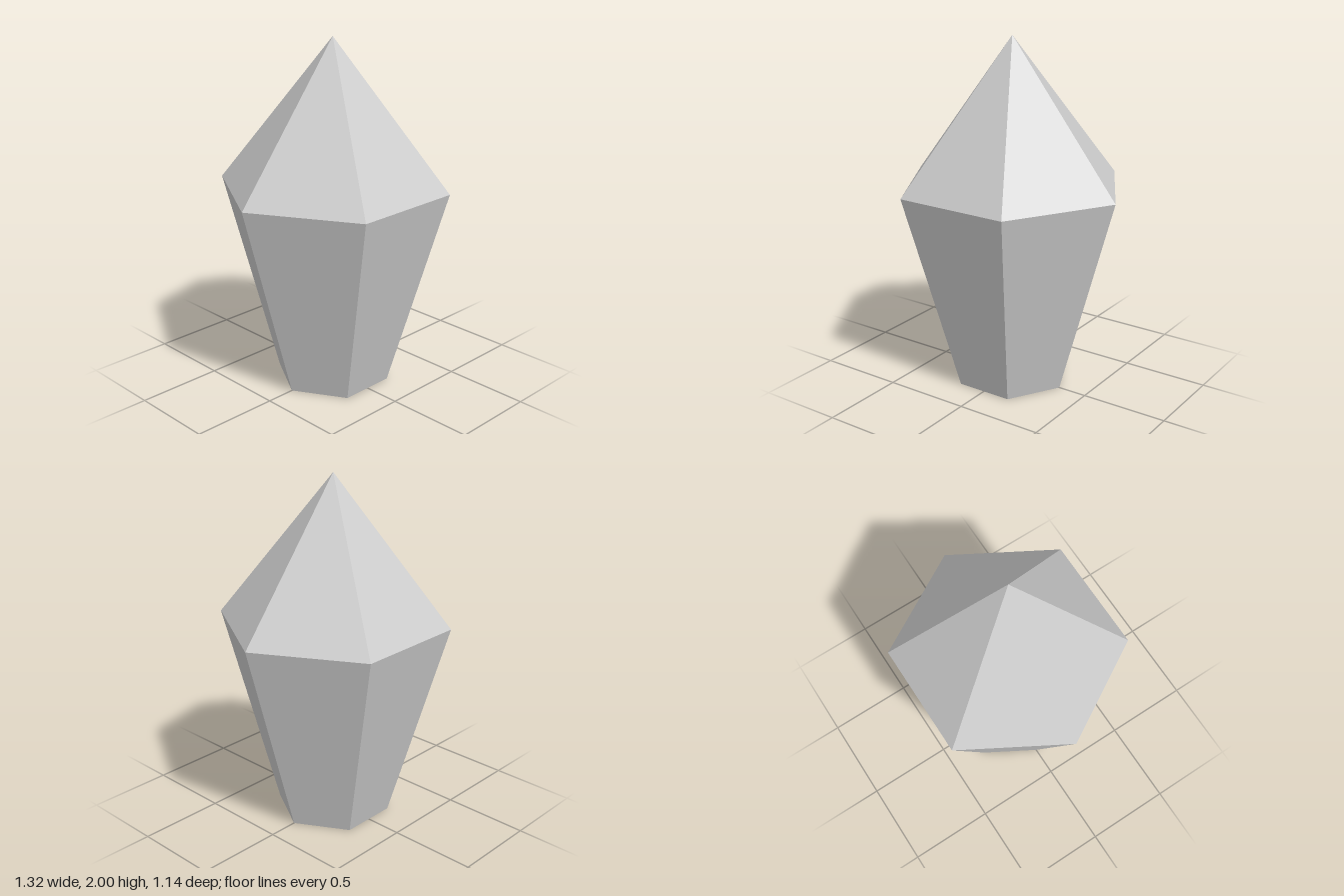
import * as THREE from 'three';

const SIDES = 6;
const BASE_RADIUS = 0.33;
const GIRDLE_RADIUS = 0.66;
const GIRDLE_Y = 1.167;
const TOP_Y = 2;

// Six-sided faceted solid of revolution, with corners on the x axis
function facetedPart(name, profile, material) {
  const points = profile.map(([r, y]) => new THREE.Vector2(r, y));
  const geometry = new THREE.LatheGeometry(points, SIDES, Math.PI / SIDES);
  const mesh = new THREE.Mesh(geometry, material);
  mesh.name = name;
  return mesh;
}

export function createModel() {
  const group = new THREE.Group();
  group.name = 'crystal';
  const material = new THREE.MeshStandardMaterial({ color: 0xcccccc, flatShading: true });

  // Tapered lower body with a closed flat base
  group.add(facetedPart('crystalBody', [[0, 0], [BASE_RADIUS, 0], [GIRDLE_RADIUS, GIRDLE_Y]], material));

  // Pointed tip
  group.add(facetedPart('crystalTip', [[GIRDLE_RADIUS, GIRDLE_Y], [0, TOP_Y]], material));

  return group;
}
